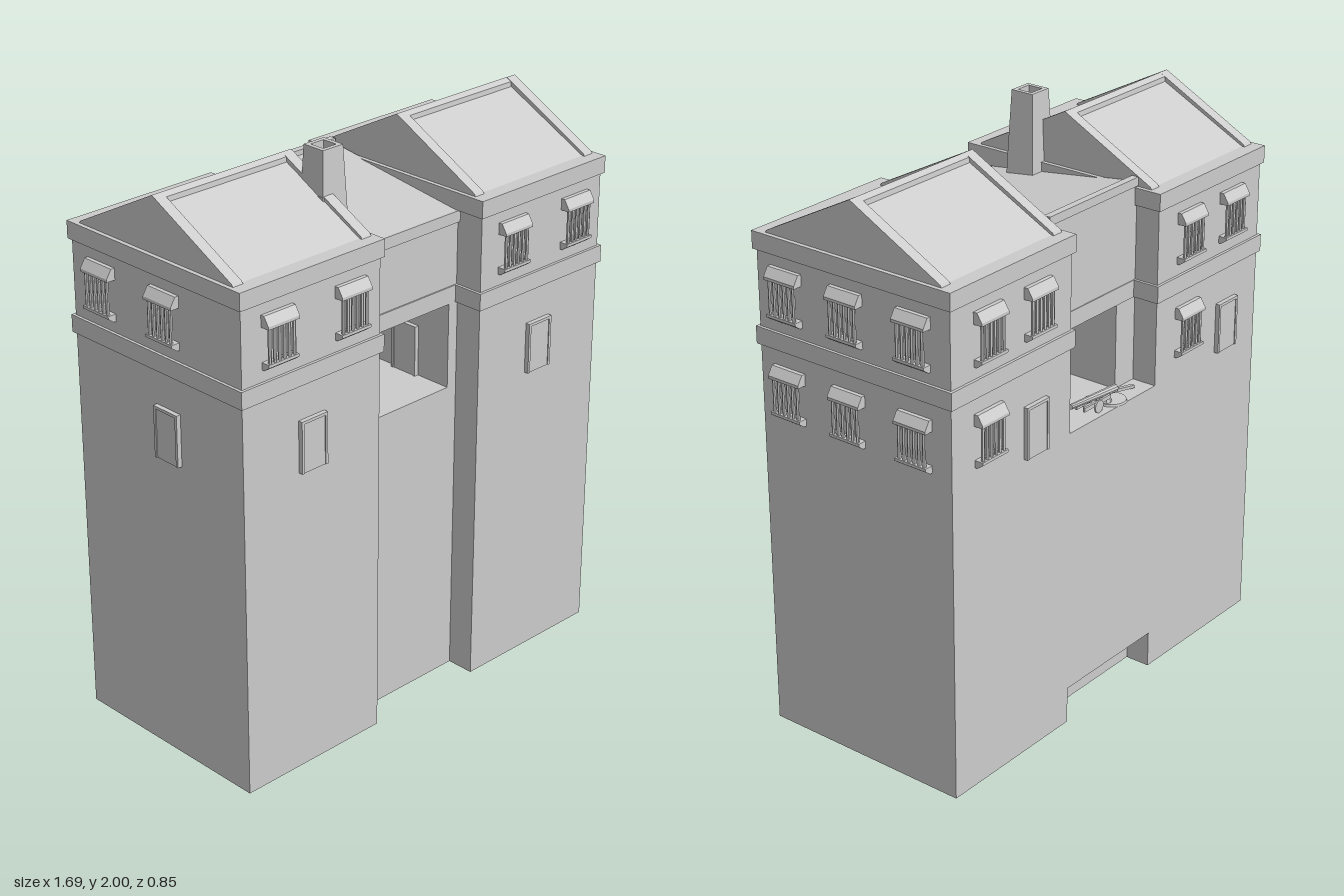
import * as THREE from 'three';

const grey = new THREE.MeshStandardMaterial({ color: 0xcccccc, flatShading: true });

function add(parent, geo, name, x = 0, y = 0, z = 0) {
  const m = new THREE.Mesh(geo, grey);
  m.name = name;
  m.position.set(x, y, z);
  parent.add(m);
  return m;
}

// Box given by its limits on each axis
function span(parent, name, x0, x1, y0, y1, z0, z1) {
  return add(parent, new THREE.BoxGeometry(x1 - x0, y1 - y0, z1 - z0), name,
    (x0 + x1) / 2, (y0 + y1) / 2, (z0 + z1) / 2);
}

// Profile of [z, y] points extruded along x from x0 to x1
function prism(parent, name, pts, x0, x1) {
  const shape = new THREE.Shape(pts.map(([z, y]) => new THREE.Vector2(-z, y)));
  const geo = new THREE.ExtrudeGeometry(shape, { depth: x1 - x0, bevelEnabled: false });
  geo.rotateY(Math.PI / 2);
  return add(parent, geo, name, x0, 0, 0);
}

// Barred window facing +z, centred on its own origin
function makeWindow() {
  const g = new THREE.Group();
  g.name = 'barredWindow';
  prism(g, 'windowHood', [[0, 0.09], [0.016, 0.09], [0.035, 0.06], [0.035, 0.05], [0, 0.05]], -0.064, 0.064);
  prism(g, 'windowSill', [[0, -0.065], [0.033, -0.065], [0.033, -0.075], [0.012, -0.09], [0, -0.09]], -0.062, 0.062);
  for (let i = 0; i < 6; i++) {
    add(g, new THREE.CylinderGeometry(0.006, 0.006, 0.12, 6), 'windowBar', -0.05 + i * 0.02, -0.007, 0.024);
  }
  return g;
}

// Door panel facing +z with a slim frame
function makeDoor() {
  const g = new THREE.Group();
  g.name = 'door';
  span(g, 'doorPanel', -0.045, 0.045, -0.09, 0.08, 0, 0.013);
  for (const s of [-1, 1]) {
    add(g, new THREE.BoxGeometry(0.01, 0.18, 0.016), 'doorJamb', s * 0.05, 0, 0.008);
  }
  span(g, 'doorLintel', -0.055, 0.055, 0.08, 0.09, 0, 0.016);
  return g;
}

function place(parent, item, x, y, z, turn) {
  item.position.set(x, y, z);
  item.rotation.y = turn;
  parent.add(item);
}

function makeTower(side) {
  const g = new THREE.Group();
  g.name = side > 0 ? 'leftTower' : 'rightTower';
  const c = side * 0.52;
  span(g, 'towerBody', c - 0.29, c + 0.29, 0, 1.75, -0.39, 0.39);
  for (const [y0, y1] of [[1.38, 1.44], [1.7, 1.76]]) {
    span(g, 'towerBand', c - 0.3, c + 0.3, y0, y1, -0.4, 0.4);
  }
  // Gable roof, raised verges and ridge cap
  prism(g, 'gableRoof', [[0.345, 1.76], [0, 1.933], [-0.345, 1.76]], c - 0.28, c + 0.28);
  for (const s of [-1, 1]) {
    const x = c + s * 0.265;
    prism(g, 'roofVerge', [[0.355, 1.76], [0.35, 1.768], [0, 1.95], [-0.35, 1.768], [-0.355, 1.76]],
      x - 0.02, x + 0.02);
  }
  prism(g, 'ridgeCap', [[0.022, 1.922], [0.02, 1.939], [0, 1.95], [-0.02, 1.939], [-0.022, 1.922]],
    c - 0.245, c + 0.245);
  return g;
}

function makeGatehouse() {
  const g = new THREE.Group();
  g.name = 'gatehouse';
  // Lower wall, overhanging at the back
  prism(g, 'lowerWall', [[0.29, 0], [0.29, 1.08], [-0.39, 1.08], [-0.39, 0.13], [-0.3, 0.13], [-0.3, 0]],
    -0.23, 0.23);
  // Passage sides and the storey above it
  span(g, 'passageWall', -0.23, -0.13, 1.08, 1.38, -0.3, 0.29);
  span(g, 'passageWall', 0.19, 0.23, 1.08, 1.38, -0.3, 0.29);
  prism(g, 'upperStorey', [[0.285, 1.38], [0.285, 1.7], [-0.3, 1.78], [-0.3, 1.38]], -0.23, 0.23);
  span(g, 'gatehouseBand', -0.23, 0.23, 1.38, 1.44, -0.303, 0.29);
  span(g, 'frontCoping', -0.23, 0.23, 1.66, 1.7, 0.27, 0.295);
  span(g, 'backCoping', -0.23, 0.23, 1.765, 1.795, -0.305, -0.28);
  place(g, makeDoor(), -0.13, 1.17, 0.1, Math.PI / 2);
  place(g, makeDoor(), 0.19, 1.17, 0.1, -Math.PI / 2);
  return g;
}

// Chimney: tapered hollow shaft built from square rings
function makeChimney() {
  const g = new THREE.Group();
  g.name = 'chimney';
  const profile = [[0.056, 0], [0.052, 0.1], [0.043, 0.3], [0.028, 0.3], [0.028, 0.24], [0, 0.24]];
  const geo = new THREE.LatheGeometry(
    profile.map(([r, y]) => new THREE.Vector2(r * Math.SQRT2, y)), 4, Math.PI / 4);
  add(g, geo, 'chimneyShaft', -0.228, 1.7, 0.138);
  span(g, 'chimneyFoot', -0.28, -0.24, 1.76, 1.85, 0.1, 0.19);
  return g;
}

// Low swivel gun on the rear terrace
function makeGun() {
  const g = new THREE.Group();
  g.name = 'terraceGun';
  add(g, new THREE.CylinderGeometry(0.05, 0.052, 0.008, 20), 'turntable', -0.05, 0.004, 0);
  add(g, new THREE.CylinderGeometry(0.012, 0.02, 0.035, 8), 'pivot', -0.02, 0.024, 0);
  const barrel = add(g, new THREE.CylinderGeometry(0.009, 0.014, 0.24, 10), 'gunBarrel', 0.05, 0.048, 0);
  barrel.rotation.z = -Math.PI / 2 + 0.08;
  const tail = add(g, new THREE.BoxGeometry(0.16, 0.01, 0.014), 'gunTrail', -0.09, 0.025, 0);
  tail.rotation.z = 0.2;
  for (const s of [-1, 1]) {
    add(g, new THREE.BoxGeometry(0.14, 0.014, 0.008), 'gunCheek', 0.05, 0.032, s * 0.016);
    const wheel = add(g, new THREE.CylinderGeometry(0.022, 0.022, 0.006, 12), 'gunWheel', 0.05, 0.023, s * 0.024);
    wheel.rotation.x = Math.PI / 2;
  }
  g.position.set(0, 1.08, -0.345);
  return g;
}

// Two casks stacked in the passage
function makeCasks() {
  const g = new THREE.Group();
  g.name = 'stackedCasks';
  const pts = [[0, 0], [0.026, 0], [0.033, 0.045], [0.026, 0.09], [0, 0.09]].map(p => new THREE.Vector2(...p));
  for (const y of [1.082, 1.175]) add(g, new THREE.LatheGeometry(pts, 12), 'cask', -0.033, y, -0.1);
  return g;
}

export function createModel() {
  const model = new THREE.Group();
  model.name = 'twinTowerGatehouse';
  model.add(makeTower(-1), makeTower(1), makeGatehouse(), makeChimney(), makeGun(), makeCasks());

  const high = 1.57, low = 1.235, doorY = 1.17, half = Math.PI / 2;
  // Front windows and doors
  for (const x of [-0.665, -0.36, 0.375, 0.68]) place(model, makeWindow(), x, high, 0.388, 0);
  for (const x of [-0.525, 0.515]) place(model, makeDoor(), x, doorY, 0.39, 0);
  // Back windows and doors
  for (const x of [-0.64, -0.4, 0.4, 0.64]) place(model, makeWindow(), x, high, -0.388, Math.PI);
  for (const x of [-0.4, 0.64]) place(model, makeWindow(), x, low, -0.388, Math.PI);
  for (const x of [-0.63, 0.41]) place(model, makeDoor(), x, doorY, -0.39, Math.PI);
  // Side windows and door
  for (const z of [0.27, 0.02, -0.25]) {
    for (const y of [high, low]) place(model, makeWindow(), 0.808, y, z, half);
  }
  for (const z of [0.05, -0.25]) place(model, makeWindow(), -0.808, high, z, -half);
  place(model, makeDoor(), -0.81, doorY, 0.05, -half);
  return model;
}
